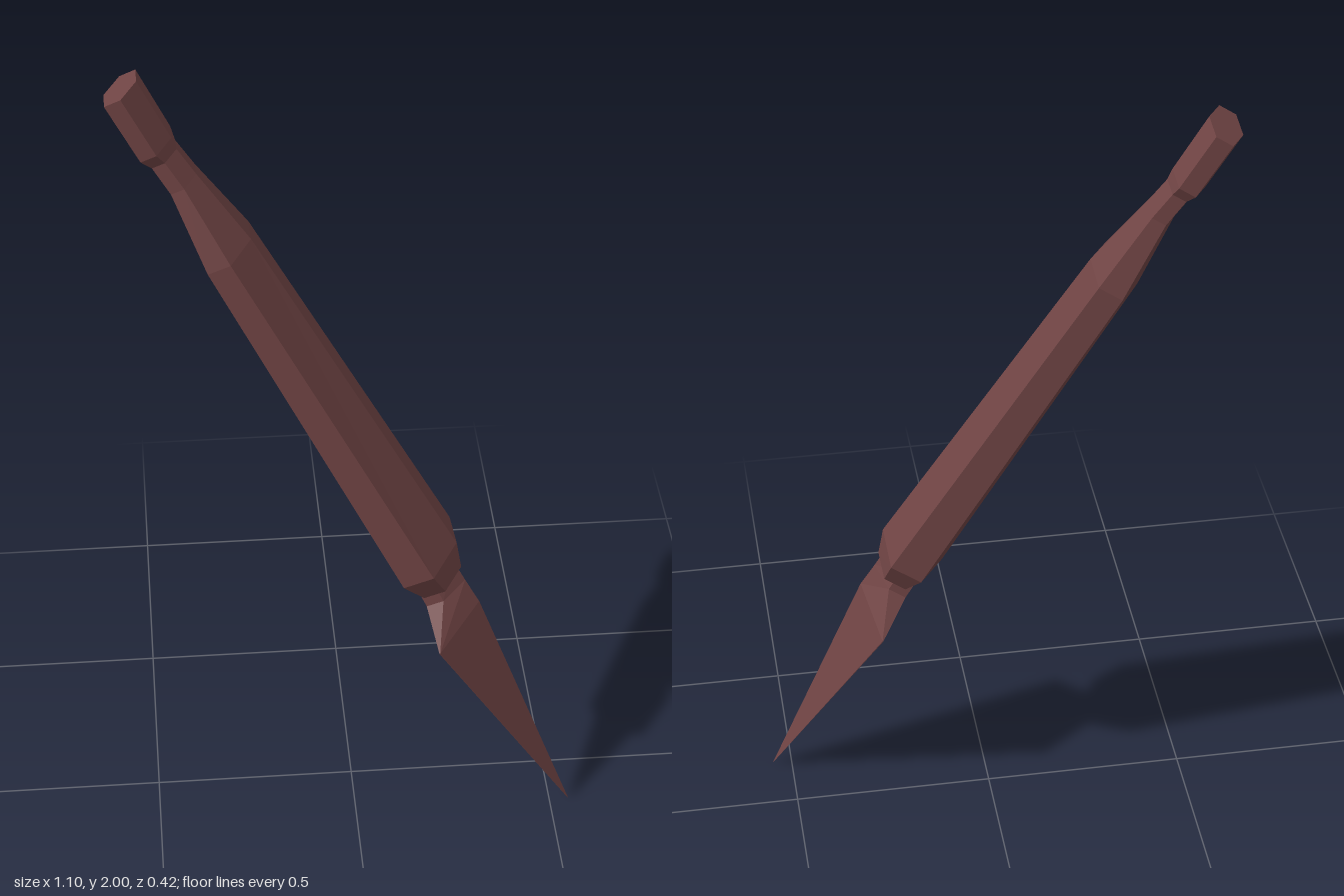
import * as THREE from 'three';

const material = new THREE.MeshStandardMaterial({ color: 0x704444, flatShading: true });

// Skin a stack of equal-sized rings (counter-clockwise seen from above), capped at both ends
function loft(name, rings) {
  const pos = [];
  const tri = (a, b, c) => pos.push(...a, ...b, ...c);
  const n = rings[0].length;
  for (let k = 0; k < rings.length - 1; k++) {
    const lo = rings[k], hi = rings[k + 1];
    for (let i = 0; i < n; i++) {
      const j = (i + 1) % n;
      tri(lo[i], lo[j], hi[j]);
      tri(lo[i], hi[j], hi[i]);
    }
  }
  const bottom = rings[0], top = rings[rings.length - 1];
  for (let i = 1; i < n - 1; i++) {
    tri(bottom[0], bottom[i + 1], bottom[i]);
    tri(top[0], top[i], top[i + 1]);
  }
  const geo = new THREE.BufferGeometry();
  geo.setAttribute('position', new THREE.Float32BufferAttribute(pos, 3));
  geo.computeVertexNormals();
  const mesh = new THREE.Mesh(geo, material);
  mesh.name = name;
  return mesh;
}

// Flattened hexagon: ridges on +x and -x, flat sides on +z and -z
function hexRing([y, centre, halfThick, halfWide]) {
  const t = halfThick, w = halfWide;
  return [[t / 2, w], [t, 0], [t / 2, -w], [-t / 2, -w], [-t, 0], [-t / 2, w]]
    .map(([x, z]) => [centre + x, y, z]);
}

// Flat-backed section with a single ridge on +x
function bladeRing([y, back, side, ridge, halfWide, ridgeLift = 0]) {
  const w = halfWide;
  return [[back, y, w], [side, y, w], [ridge, y + ridgeLift, 0], [side, y, -w], [back, y, -w]];
}

export function createModel() {
  const group = new THREE.Group();
  group.name = 'dagger';

  const dagger = new THREE.Group();
  dagger.name = 'tiltedDagger';

  // Blade with its shoulders and tang: y, back, side, ridge, half width
  dagger.add(loft('blade', [
    [0, 0, 0, 0, 0],
    [0.645, -0.014, -0.012, 0.082, 0.145, 0.018],
    [0.735, -0.017, 0.03, 0.08, 0.062],
    [0.80, -0.017, 0.03, 0.08, 0.056],
  ].map(bladeRing)));

  // Grip, waist and pommel: y, centre, half thickness, half width
  dagger.add(loft('handle', [
    [0.775, 0.031, 0.059, 0.085],
    [0.845, 0.031, 0.083, 0.124],
    [1.80, 0.013, 0.062, 0.098],
    [2.00, 0.008, 0.036, 0.056],
    [2.075, 0.0, 0.035, 0.052],
    [2.105, -0.004, 0.043, 0.068],
    [2.262, -0.005, 0.044, 0.071],
  ].map(hexRing)));

  // Lean the dagger, point down
  dagger.rotation.set(0, -0.263, 0.504, 'YXZ');
  dagger.position.set(0.55, 0, 0.15);
  group.add(dagger);
  return group;
}
